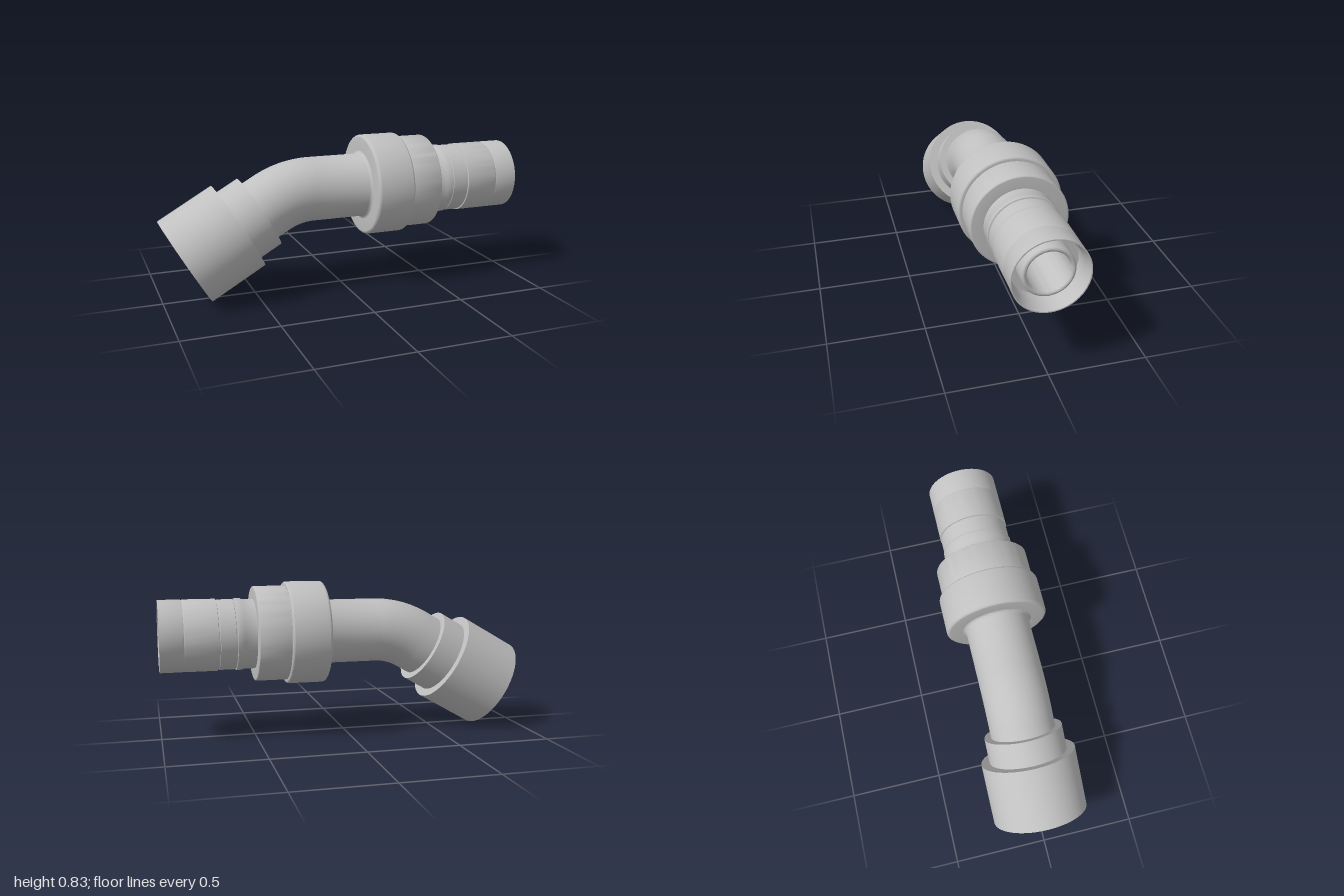
import * as THREE from 'three';
import { toCreasedNormals } from 'three/addons/utils/BufferGeometryUtils.js';

const AXIS_Y = 0.556;            // height of the straight run
const BEND = Math.PI / 6;        // elbow angle
const PIPE = 0.174, BORE = 0.105;
const SIDES = 72;

export function createModel() {
  const group = new THREE.Group();
  const steel = new THREE.MeshStandardMaterial({ color: 0xc0c0c0, side: THREE.DoubleSide });
  steel.name = 'light grey steel';

  // Turned part: profile of [position along axis, radius], axis along +x
  function turned(name, profile, x, y, angle = 0) {
    const points = profile.map(([s, r]) => new THREE.Vector2(r, s));
    const geometry = new THREE.LatheGeometry(points, SIDES).rotateZ(-Math.PI / 2);
    const mesh = new THREE.Mesh(toCreasedNormals(geometry, 0.6), steel);
    mesh.name = name;
    mesh.position.set(x, y, 0);
    mesh.rotation.z = angle;
    group.add(mesh);
  }

  // Profile of a ring with rounded outer corners
  function rounded(x0, x1, r, f0, f1) {
    const out = [];
    for (let i = 0; i <= 4; i++) {
      const a = (i / 4) * Math.PI / 2;
      out.push([x0 + f0 * (1 - Math.cos(a)), r - f0 * (1 - Math.sin(a))]);
    }
    for (let i = 0; i <= 4; i++) {
      const a = (i / 4) * Math.PI / 2;
      out.push([x1 - f1 * (1 - Math.sin(a)), r - f1 * (1 - Math.cos(a))]);
    }
    return out;
  }

  // Elbow geometry: tangent points either side of the bend
  const endX = -0.8725, endY = 0.222;
  const cornerX = endX + (AXIS_Y - endY) / Math.tan(BEND);
  const tangent = 0.12;
  const bendRadius = tangent / Math.tan(BEND / 2);
  const bendX = cornerX + tangent;
  const armLength = (cornerX - endX) / Math.cos(BEND) - tangent;

  // Straight pipe up to the collars
  turned('straightPipe', [
    [bendX, PIPE], [0.105, PIPE], [0.113, 0.177], [0.118, 0.182], [0.12, 0.19],
  ], 0, AXIS_Y);

  // Two stepped collars
  turned('largeCollar', [
    [0.12, 0.17], ...rounded(0.12, 0.33, 0.277, 0.016, 0.012), [0.33, 0.24],
  ], 0, AXIS_Y);
  turned('smallCollar', [
    [0.33, 0.255], ...rounded(0.332, 0.5, 0.255, 0.001, 0.008), [0.5, 0.18],
  ], 0, AXIS_Y);

  // Crimp sleeve with shallow grooves and a tapered open mouth
  turned('sleeve', [
    [0.5, 0.187], [0.56, 0.187], [0.568, 0.192], [0.6, 0.192], [0.602, 0.185],
    [0.608, 0.185], [0.61, 0.188], [0.69, 0.188], [0.692, 0.185], [0.698, 0.185],
    [0.7, 0.192], [0.87, 0.192], [0.876, 0.189], [0.884, 0.192], [1, 0.192],
    [1, 0.186], [0.95, 0.171], [0.87, 0.171], [0.87, 0.12],
  ], 0, AXIS_Y);

  // Inner nipple with a rounded tip
  const tip = [];
  for (let i = 0; i <= 8; i++) {
    const a = (i / 8) * Math.PI;
    tip.push([0.953 + 0.0125 * Math.sin(a), 0.1175 + 0.0125 * Math.cos(a)]);
  }
  turned('innerNipple', [[0.86, 0.13], ...tip, [bendX, BORE]], 0, AXIS_Y);

  // Bent pipe and its bore
  [['bentPipe', PIPE], ['bentBore', BORE]].forEach(([name, r]) => {
    const bend = new THREE.Mesh(
      new THREE.TorusGeometry(bendRadius, r, SIDES, 20, BEND), steel);
    bend.name = name;
    bend.position.set(bendX, AXIS_Y - bendRadius, 0);
    bend.rotation.z = Math.PI / 2;
    group.add(bend);
  });

  // Angled end: open socket cup, step ring, neck and bore
  turned('socketCup', [
    [0.3, BORE], [0.3, 0.237], [0, 0.237], [0, 0.2555], [0.334, 0.2555], [0.334, 0.2],
  ], endX, endY, BEND);
  turned('stepRing', [
    [0.334, 0.2105], [0.469, 0.2105], [0.469, 0.17],
  ], endX, endY, BEND);
  turned('neck', [[0.46, PIPE], [armLength, PIPE]], endX, endY, BEND);
  turned('neckBore', [[armLength, BORE], [0.3, BORE]], endX, endY, BEND);

  return group;
}
